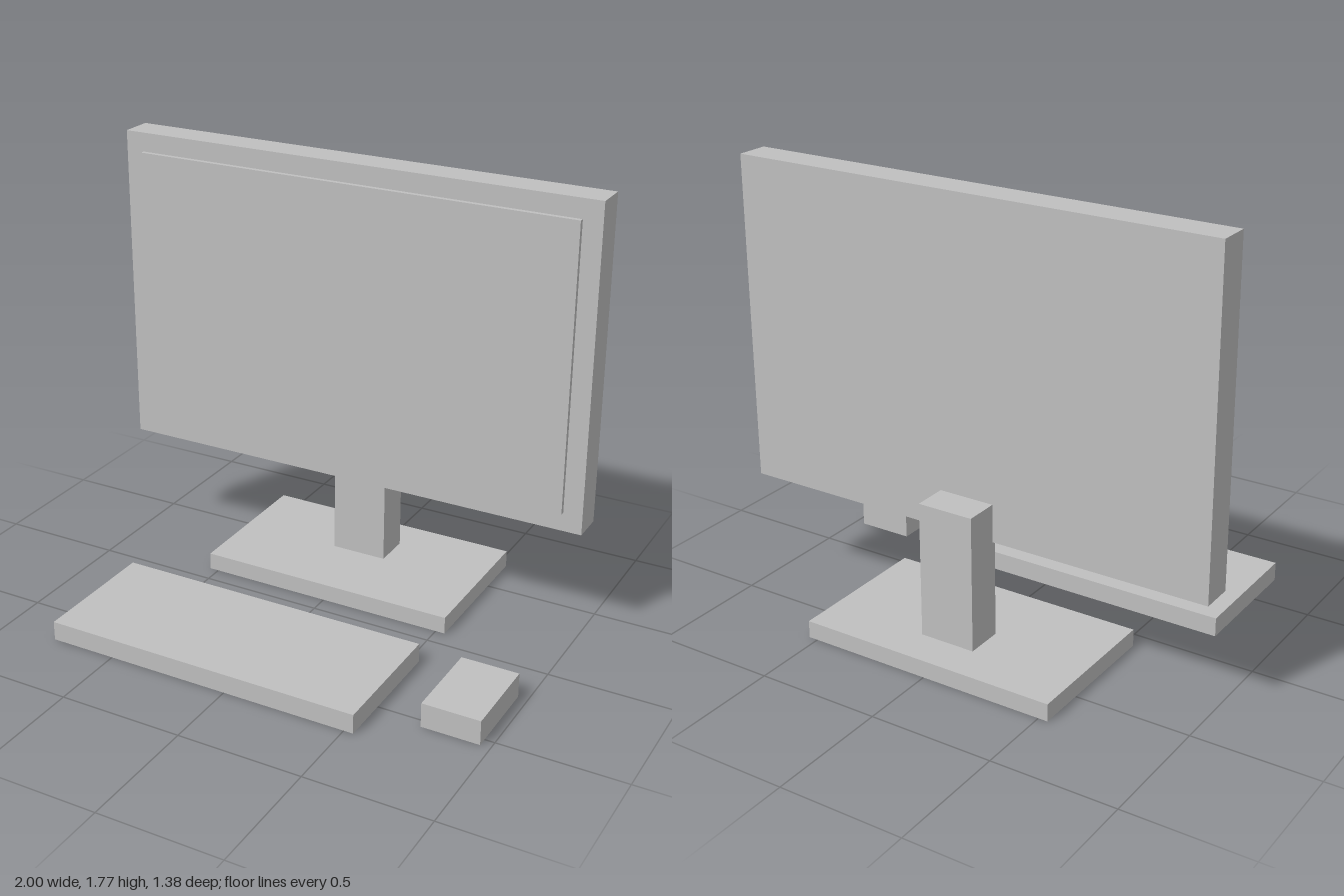
import * as THREE from 'three';

export function createModel() {
  const group = new THREE.Group();
  const grey = new THREE.MeshStandardMaterial({ color: 0xbfbfbf });
  grey.name = 'plain grey';

  // Box given by its extents along each axis
  const addBox = (name, [x0, x1], [y0, y1], [z0, z1]) => {
    const mesh = new THREE.Mesh(new THREE.BoxGeometry(x1 - x0, y1 - y0, z1 - z0), grey);
    mesh.position.set((x0 + x1) / 2, (y0 + y1) / 2, (z0 + z1) / 2);
    mesh.name = name;
    group.add(mesh);
  };

  // Display
  addBox('monitorCase', [-1, 1], [0.463, 1.77], [-0.4, -0.269]);
  addBox('screen', [-0.923, 0.923], [0.54, 1.693], [-0.275, -0.25]);

  // Stand
  addBox('standColumn', [-0.115, 0.115], [0.07, 0.616], [-0.538, -0.385]);
  addBox('standBase', [-0.538, 0.538], [0, 0.07], [-0.692, -0.077]);

  // Desk accessories
  addBox('keyboard', [-0.769, 0.538], [0, 0.078], [0.154, 0.692]);
  addBox('mouse', [0.729, 0.96], [0, 0.099], [0.192, 0.538]);

  return group;
}
